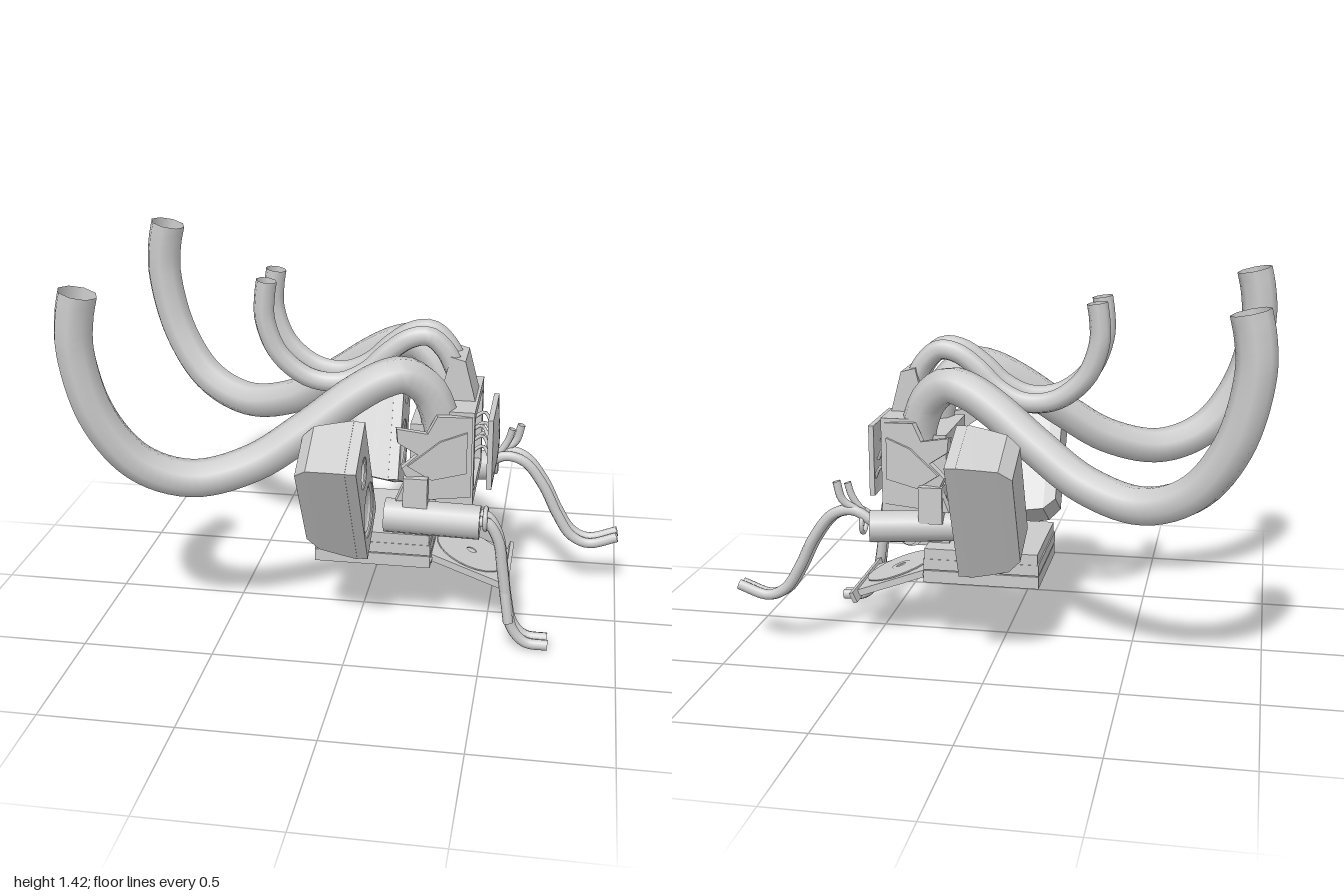
import * as THREE from 'three';

const smooth = new THREE.MeshStandardMaterial({ color: 0xcccccc, side: THREE.DoubleSide });
const flat = new THREE.MeshStandardMaterial({ color: 0xcccccc, side: THREE.DoubleSide, flatShading: true });
const ZC = -0.01; // middle plane of the body

export function createModel() {
  const root = new THREE.Group();
  root.name = 'speakerRobot';

  const add = (name, geo, mat = flat, parent = root) => {
    const m = new THREE.Mesh(geo, mat);
    m.name = name;
    parent.add(m);
    return m;
  };
  // box from its lower and upper limits
  const box = (name, x0, x1, y0, y1, z0, z1) => {
    const m = add(name, new THREE.BoxGeometry(x1 - x0, y1 - y0, z1 - z0));
    m.position.set((x0 + x1) / 2, (y0 + y1) / 2, (z0 + z1) / 2);
    return m;
  };
  const tube = (name, pts, r, seg = 40, sides = 8) => add(name, new THREE.TubeGeometry(
    new THREE.CatmullRomCurve3(pts.map(p => new THREE.Vector3(...p))), seg, r, sides), smooth);
  // cylinder between two points
  const rod = (name, a, b, r, sides = 16) => {
    const A = new THREE.Vector3(...a), B = new THREE.Vector3(...b), d = B.clone().sub(A);
    const m = add(name, new THREE.CylinderGeometry(r, r, d.length(), sides), smooth);
    m.position.copy(A).add(B).multiplyScalar(0.5);
    m.quaternion.setFromUnitVectors(new THREE.Vector3(0, 1, 0), d.normalize());
  };
  const poly = pts => new THREE.Shape(pts.map(p => new THREE.Vector2(...p)));
  const rect = (u0, u1, v0, v1) => poly([[u0, v0], [u1, v0], [u1, v1], [u0, v1]]);
  const circle = (x, y, r) => new THREE.Path().absarc(x, y, r, 0, Math.PI * 2);
  const extrude = (shape, depth) => new THREE.ExtrudeGeometry(shape, { depth, bevelEnabled: false });

  // Exhaust pipes, mirrored about the middle plane: [x, y, half spread]
  const bigPipe = [[-0.905, 1.405, 0.538], [-0.922, 1.33, 0.539], [-0.93, 1.2, 0.539], [-0.87, 0.95, 0.525],
    [-0.74, 0.765, 0.485], [-0.56, 0.693, 0.43], [-0.35, 0.74, 0.365], [-0.17, 0.855, 0.31], [0, 0.98, 0.255],
    [0.1, 1.035, 0.225], [0.18, 1.05, 0.2], [0.26, 0.99, 0.17], [0.3, 0.9, 0.155], [0.315, 0.82, 0.15]];
  const smallPipe = [[-0.35, 1.35, 0.084], [-0.359, 1.29, 0.084], [-0.36, 1.2, 0.084], [-0.31, 1.07, 0.08],
    [-0.2, 0.98, 0.075], [-0.08, 0.965, 0.068], [0.02, 1.01, 0.06], [0.1, 1.085, 0.053], [0.18, 1.14, 0.047],
    [0.25, 1.15, 0.043], [0.31, 1.1, 0.041], [0.36, 1.0, 0.041]];
  const mid = x => -0.005 - 0.011 * x;
  for (const s of [1, -1]) {
    tube('bigPipe', bigPipe.map(([x, y, z]) => [x, y, mid(x) + s * z]), 0.07, 60);
    tube('smallPipe', smallPipe.map(([x, y, z]) => [x, y, mid(x) + s * z]), 0.039, 50);
  }

  // Speakers: baffle with sunken cones, cabinet tapering to the back
  const layers = [[-0.04, 1, 1], [-0.11, 0.93, 0.96], [-0.185, 0.85, 0.91], [-0.23, 0.75, 0.74]];
  const cones = [[0.116, 0.06], [-0.11, 0.105]];
  const speaker = (name, x, y, z, lean) => {
    const g = new THREE.Group();
    g.name = name;
    g.position.set(x, y, z);
    g.rotation.set(0, Math.PI / 2, lean);
    root.add(g);
    const cab = new THREE.BoxGeometry(0.24, 0.53, 3, 1, 1, 3);
    const p = cab.attributes.position;
    for (let i = 0; i < p.count; i++) {
      const [d, sx, sy] = layers[Math.round(1.5 - p.getZ(i))];
      p.setXYZ(i, p.getX(i) * sx, p.getY(i) * sy, d);
    }
    cab.computeVertexNormals();
    add('speakerCabinet', cab, flat, g);
    const baffle = rect(-0.118, 0.118, -0.262, 0.262);
    for (const [v, r] of cones) {
      baffle.holes.push(circle(0, v, r));
      const prof = [[0, -0.018], [r * 0.16, -0.022], [r * 0.2, -0.034], [r * 0.72, -0.014],
        [r * 0.8, -0.006], [r * 0.88, -0.012], [r, -0.004]];
      const cone = add('speakerCone', new THREE.LatheGeometry(prof.map(q => new THREE.Vector2(...q)), 28), flat, g);
      cone.rotation.x = Math.PI / 2;
      cone.position.y = v;
    }
    add('speakerBaffle', extrude(baffle, 0.04), flat, g).position.z = -0.04;
  };
  speaker('leftSpeaker', 0.065, 0.643, 0.347, 0.53);
  speaker('rightSpeaker', 0.11, 0.66, -0.394, -0.445);

  // Head: hollow monitor frame with a back body
  const frame = rect(-0.196, 0.219, 0.55, 0.917);
  frame.holes.push(rect(-0.152, 0.174, 0.59, 0.88));
  const monitor = add('monitorFrame', extrude(frame, 0.14));
  monitor.rotation.y = Math.PI / 2;
  monitor.position.x = 0.3;
  box('monitorBack', 0.29, 0.32, 0.56, 0.91, -0.21, 0.19);
  box('headBack', 0.2, 0.3, 0.57, 0.85, -0.18, 0.165);

  // Jagged cheeks flaring out to the rear
  const cheek = poly([[0, -0.16], [0, 0.155], [-0.13, 0.165], [-0.165, 0.1], [-0.28, 0.125],
    [-0.275, 0.07], [-0.2, 0.02], [-0.26, -0.03], [-0.24, -0.07], [-0.28, -0.16]]);
  const ridge = poly([[-0.02, -0.06], [-0.02, 0.1], [-0.12, 0.07], [-0.24, -0.02], [-0.15, -0.08]]);
  for (const s of [1, -1]) {
    const g = new THREE.Group();
    g.name = 'cheek';
    g.position.set(0.43, 0.745, ZC + s * 0.2);
    g.rotation.y = s * 0.28;
    root.add(g);
    add('cheekPlate', extrude(cheek, 0.025), flat, g).position.z = -0.0125;
    add('cheekRidge', extrude(ridge, 0.012), flat, g).position.z = s > 0 ? 0.01 : -0.022;
    const z = ZC + s * 0.25;
    box('shoulder', 0.19, 0.28, 0.54, 0.68, z - 0.045, z + 0.045);
  }

  // Screen pushed out of its frame, with loose wires behind
  const screen = add('screen', new THREE.BoxGeometry(0.02, 0.275, 0.305, 1, 8, 8), smooth);
  const sp = screen.geometry.attributes.position;
  for (let i = 0; i < sp.count; i++) {
    const b = (1 - (sp.getY(i) / 0.1375) ** 2) * (1 - (sp.getZ(i) / 0.1525) ** 2);
    sp.setX(i, sp.getX(i) + 0.015 * b);
  }
  screen.geometry.computeVertexNormals();
  screen.position.set(0.495, 0.733, ZC);
  for (let i = 0; i < 6; i++) {
    const z = ZC - 0.12 + i * 0.048, y = 0.66 + (i % 3) * 0.06;
    tube('screenWire', [[0.32, y, z], [0.4, y + 0.03, z + 0.03], [0.46, y + 0.05, z - 0.02], [0.49, y, z]], 0.007, 16, 6);
  }

  // Pipe housing on top of the head
  const housing = poly([[0.29, 0.9], [0.43, 0.915], [0.39, 1.07], [0.335, 1.085]]);
  add('pipeHousing', extrude(housing, 0.17)).position.z = -0.1;

  // Neck and cross roller under the head
  box('neck', 0.2, 0.34, 0.4, 0.58, -0.14, 0.125);
  for (const [name, h, r] of [['roller', 0.178, 0.05], ['rollerCollar', 0.06, 0.061],
    ['rollerRim', 0.045, 0.065], ['rollerPin', 0.21, 0.035]]) {
    rod(name, [0.34, 0.46, ZC - h], [0.34, 0.46, ZC + h], r, 20);
  }

  // Disc drive with an open, drooping tray
  box('driveBase', -0.16, 0.285, 0.278, 0.326, -0.22, 0.198);
  box('driveMiddle', -0.16, 0.285, 0.33, 0.372, -0.22, 0.198);
  box('driveLid', -0.155, 0.281, 0.372, 0.413, -0.218, 0.196);
  box('driveCore', -0.14, 0.27, 0.3, 0.4, -0.2, 0.18);
  for (const z of [0.174, -0.196]) rod('driveScrew', [0.26, 0.303, z], [0.291, 0.303, z], 0.012, 10);
  box('crossBar', 0.28, 0.296, 0.345, 0.359, -0.153, -0.111);
  box('crossPost', 0.28, 0.296, 0.331, 0.373, -0.139, -0.125);

  const tray = new THREE.Group();
  tray.name = 'discTray';
  tray.position.set(0.27, 0.316, ZC);
  tray.rotation.z = -0.355;
  root.add(tray);
  const slab = rect(0, 0.315, -0.153, 0.153);
  slab.holes.push(circle(0.165, 0, 0.132));
  const lay = (name, geo, y) => {
    const m = add(name, geo, flat, tray);
    m.rotation.x = -Math.PI / 2;
    m.position.y = y;
  };
  lay('traySlab', extrude(slab, 0.02), -0.02);
  lay('trayFloor', extrude(rect(0, 0.315, -0.15, 0.15), 0.008), -0.028);
  const disc = new THREE.Shape().absarc(0.165, 0, 0.143, 0, Math.PI * 2);
  disc.holes.push(circle(0.165, 0, 0.02));
  lay('disc', extrude(disc, 0.005), 0.003);
  lay('discHub', new THREE.RingGeometry(0.02, 0.038, 24).translate(0.165, 0, 0), 0.01);
  const lip = add('trayFront', extrude(poly([[-0.21, 0.01], [-0.2, -0.035], [0.2, -0.035], [0.21, 0.01]]), 0.016), flat, tray);
  lip.rotation.y = Math.PI / 2;
  lip.position.x = 0.315;

  // Arms, each a cylinder with wires spilling from the end
  rod('leftArm', [0.12, 0.515, 0.25], [0.475, 0.508, 0.25], 0.064);
  rod('rightArm', [0.16, 0.515, -0.225], [0.47, 0.515, -0.295], 0.06);
  const leftWire = [[0.44, 0.51], [0.5, 0.52], [0.545, 0.45], [0.565, 0.33], [0.585, 0.19],
    [0.61, 0.085], [0.66, 0.032], [0.745, 0.025]];
  const rightWire = [[0.44, 0.52], [0.53, 0.57], [0.61, 0.55], [0.69, 0.45], [0.75, 0.33],
    [0.81, 0.24], [0.88, 0.21], [0.995, 0.245]];
  for (const [z, dx, dy] of [[0.27, 0, 0], [0.228, -0.004, 0.008]]) {
    tube('leftWire', leftWire.map(([x, y]) => [x + dx, y + dy, z]), 0.021);
  }
  tube('leftShortWire', [[0.44, 0.5, 0.24], [0.51, 0.5, 0.23], [0.555, 0.4, 0.235], [0.575, 0.25, 0.27], [0.595, 0.12, 0.29]], 0.019);
  for (const [z, dy] of [[-0.262, 0], [-0.304, 0.008]]) {
    tube('rightWire', rightWire.map(([x, y]) => [x, y + dy, z]), 0.021);
  }
  tube('rightStub', [[0.44, 0.52, -0.29], [0.52, 0.58, -0.3], [0.57, 0.62, -0.31], [0.59, 0.69, -0.31]], 0.016, 16);
  tube('rightStub', [[0.44, 0.52, -0.28], [0.5, 0.57, -0.28], [0.54, 0.63, -0.285], [0.555, 0.68, -0.285]], 0.014, 16);
  for (const [z, r] of [[0.25, 0.04], [-0.29, 0.035]]) {
    const band = add('wireBand', new THREE.TorusGeometry(r, 0.009, 8, 20), smooth);
    band.rotation.y = Math.PI / 2;
    band.position.set(0.495, 0.525, z);
  }
  return root;
}
